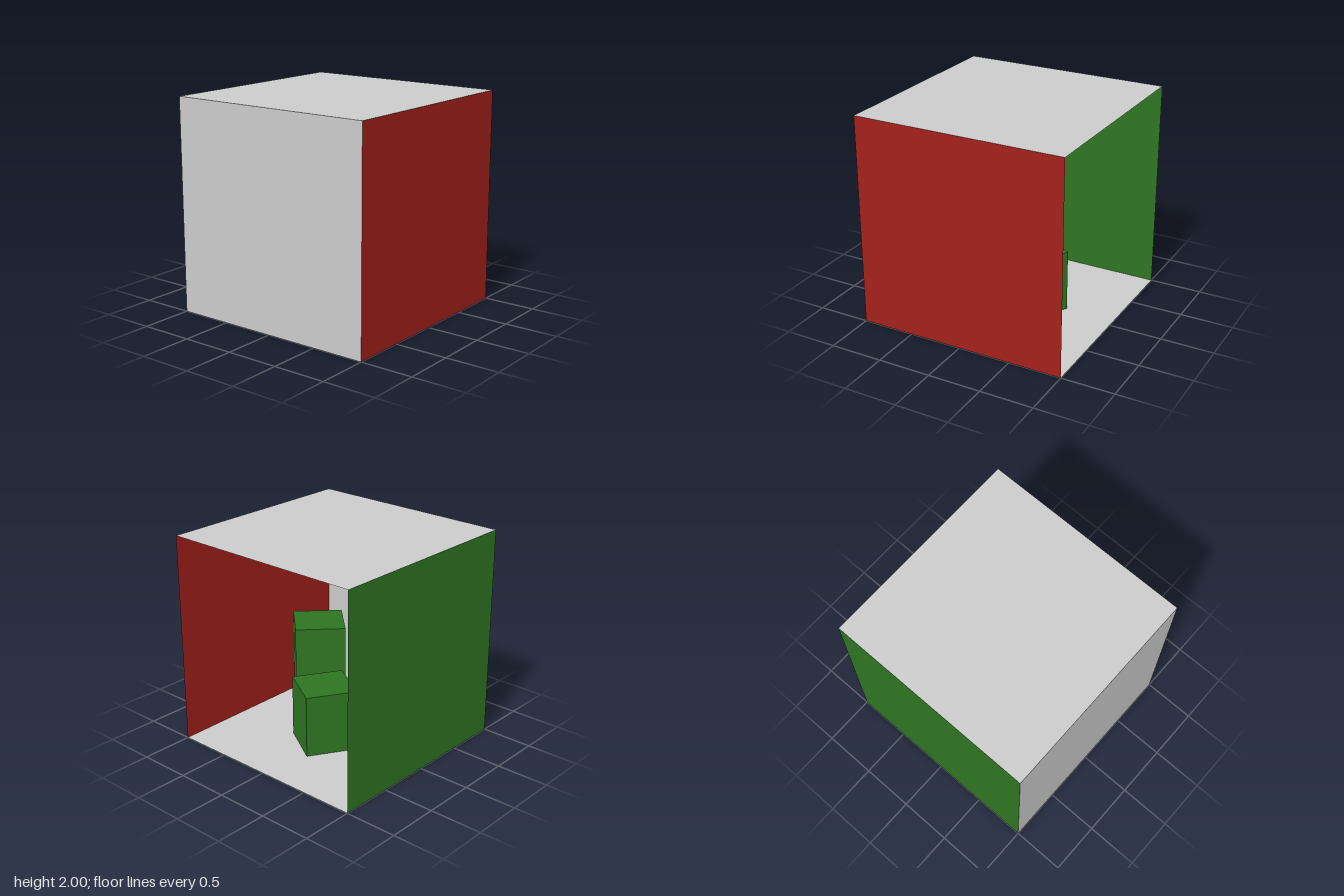
import * as THREE from 'three';

const material = (color, extra = {}) => new THREE.MeshStandardMaterial({ color, ...extra });
const GREY = 0xcccccc, RED = 0xa3201c, GREEN = 0x2f7522;

export function createModel() {
  const room = new THREE.Group();
  room.name = 'room';

  const add = (name, geometry, mat, [x, y, z]) => {
    const mesh = new THREE.Mesh(geometry, mat);
    mesh.name = name;
    mesh.position.set(x, y, z);
    room.add(mesh);
    return mesh;
  };

  // Thin panel, turned from facing +z about x and y
  const panel = (name, w, h, color, position, rx = 0, ry = 0) =>
    add(name, new THREE.PlaneGeometry(w, h), material(color, { side: THREE.DoubleSide }), position)
      .rotation.set(rx, ry, 0);

  // Five-sided shell, open on the +x side
  panel('floor', 2, 2, GREY, [0, 0, 0], -Math.PI / 2);
  panel('ceiling', 2, 2, GREY, [0, 2, 0], Math.PI / 2);
  panel('rearWall', 2, 2, GREY, [-1, 1, 0], 0, Math.PI / 2);
  panel('redWall', 2, 2, RED, [0, 1, 1]);
  panel('greenWall', 2, 2, GREEN, [0, 1, -1], 0, Math.PI);

  // Lamp panel just under the ceiling
  panel('ceilingLight', 0.54, 0.6, GREY, [0, 1.995, 0], Math.PI / 2);

  // Square blocks, each turned about the vertical
  const block = (name, height, x, z, degrees) =>
    add(name, new THREE.BoxGeometry(0.48, height, 0.48), material(GREEN), [x, height / 2 + 0.001, z])
      .rotation.y = THREE.MathUtils.degToRad(degrees);
  block('tallBlock', 0.89, -0.385, 0.58, 46);
  block('shortBlock', 0.59, 0.19, -0.01, -31.4);

  // Cone in the rear corner
  add('cone', new THREE.ConeGeometry(0.31, 0.62, 32), material(GREY, { flatShading: true }), [-0.57, 0.311, -0.57]);

  return room;
}
